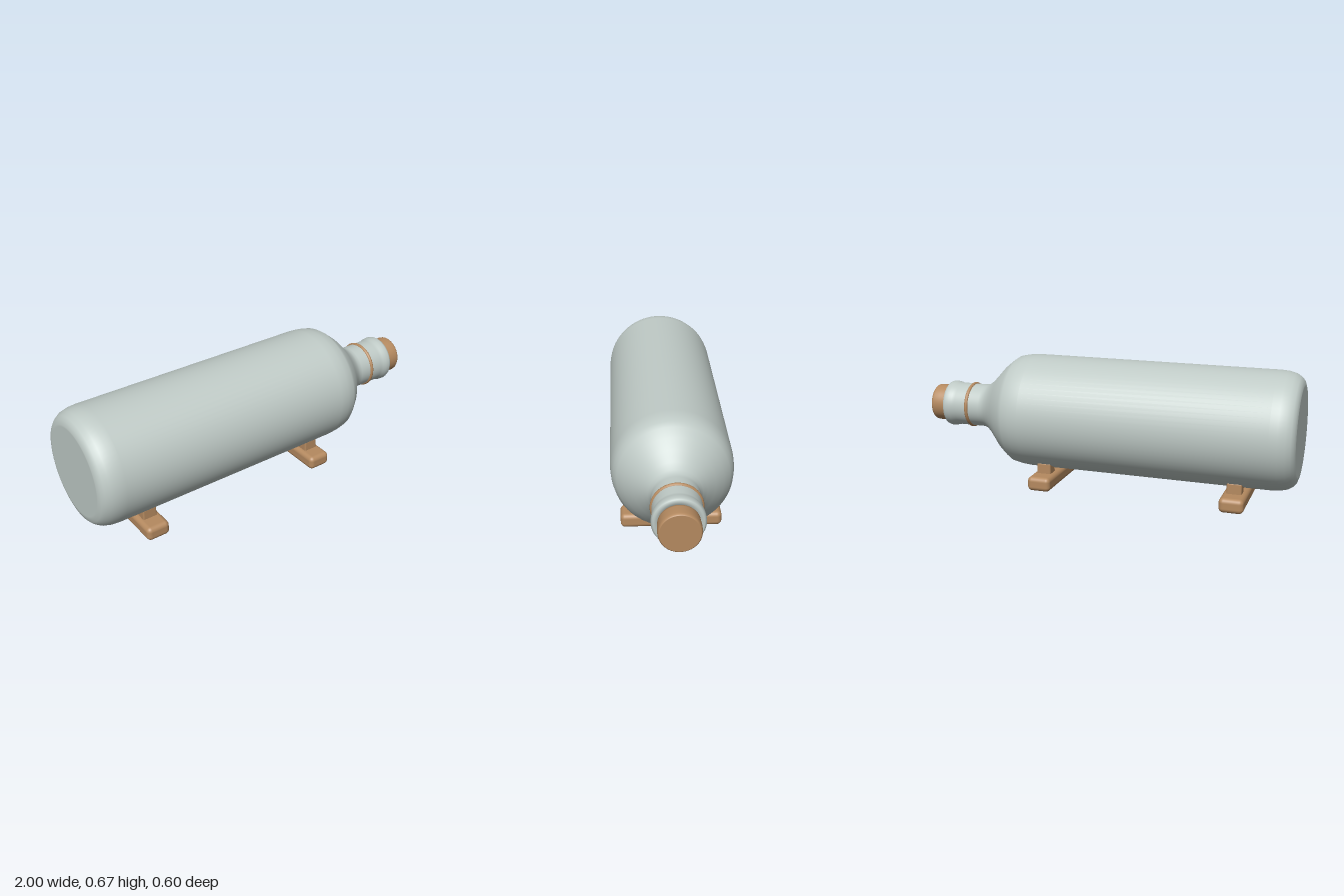
import * as THREE from 'three';
import { RoundedBoxGeometry } from 'three/addons/geometries/RoundedBoxGeometry.js';

const AXIS_Y = 0.374;

export function createModel() {
  const model = new THREE.Group();
  const glass = new THREE.MeshStandardMaterial({ color: 0xbfcac6 });
  glass.name = 'paleGlass';
  const wood = new THREE.MeshStandardMaterial({ color: 0xb58a60 });
  wood.name = 'wood';

  const add = (name, geometry, material, parent = model) => {
    const mesh = new THREE.Mesh(geometry, material);
    mesh.name = name;
    parent.add(mesh);
    return mesh;
  };

  // Round parts: profile of [x, radius] pairs turned about the lying axis
  const turned = (name, profile, material) => {
    const points = profile.map(([x, r]) => new THREE.Vector2(r, x));
    const geometry = new THREE.LatheGeometry(points, 72);
    geometry.rotateZ(-Math.PI / 2);
    add(name, geometry, material).position.y = AXIS_Y;
  };

  // Bottle: base, barrel, shoulder, neck and lip
  turned('bottle', [
    [-1, 0], [-1, 0.225], [-1, 0.235], [-0.993, 0.257], [-0.98, 0.272], [-0.955, 0.288],
    [-0.92, 0.297], [-0.88, 0.3], [0.4, 0.3], [0.45, 0.296], [0.495, 0.287],
    [0.52, 0.27], [0.56, 0.237], [0.6, 0.194], [0.64, 0.152], [0.67, 0.128],
    [0.69, 0.118], [0.71, 0.115], [0.85, 0.115], [0.868, 0.117], [0.882, 0.122],
    [0.905, 0.123], [0.916, 0.119], [0.92, 0.112], [0.92, 0.09], [0.9, 0.085],
  ], glass);

  // Band around the neck
  const band = new THREE.TorusGeometry(0.113, 0.01, 12, 72);
  band.rotateY(Math.PI / 2);
  add('neckBand', band, wood).position.set(0.78, AXIS_Y, 0);

  // Stopper
  turned('stopper', [
    [0.9, 0], [0.9, 0.096], [0.93, 0.096], [0.955, 0.098], [0.985, 0.098],
    [0.995, 0.096], [1, 0.092], [1, 0.09], [1, 0],
  ], wood);

  // Two cradles, each a crossbar with a pair of pads
  for (const [name, x] of [['rearCradle', -0.706], ['neckCradle', 0.306]]) {
    const cradle = new THREE.Group();
    cradle.name = name;
    cradle.position.x = x;
    model.add(cradle);
    add('crossbar', new RoundedBoxGeometry(0.124, 0.075, 0.512, 4, 0.024), wood, cradle)
      .position.y = 0.0375;
    for (const side of [-1, 1]) {
      add('pad', new RoundedBoxGeometry(0.076, 0.085, 0.068, 3, 0.008), wood, cradle)
        .position.set(0, 0.0885, side * 0.138);
    }
  }
  return model;
}
